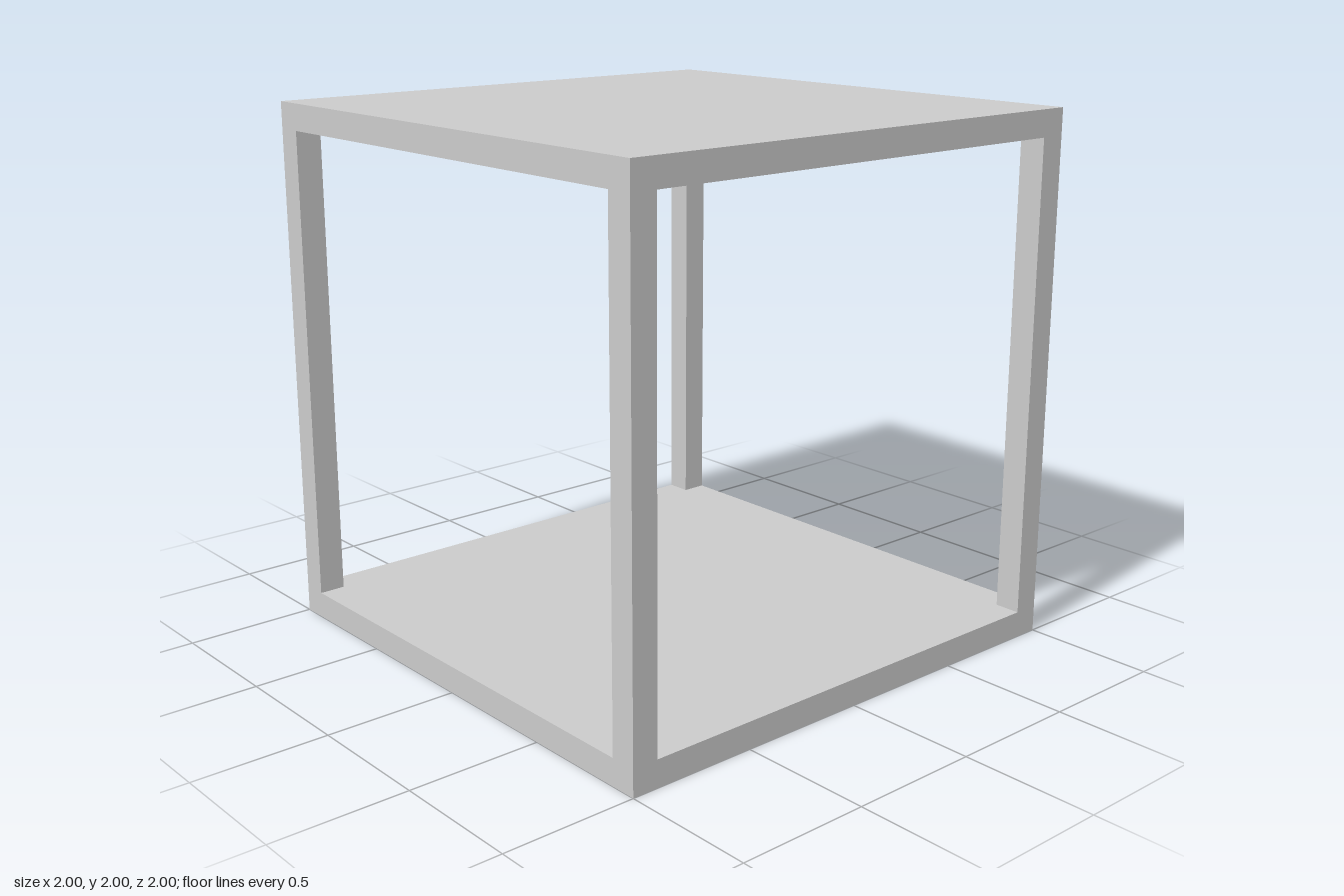
import * as THREE from 'three';

const SIZE = 2;        // outer edge of the cube
const THICK = 0.1;     // slab thickness and post width

export function createModel() {
  const model = new THREE.Group();
  model.name = 'openCubeFrame';
  const material = new THREE.MeshStandardMaterial({ color: 0xcccccc, flatShading: true });

  const addBox = (name, w, h, d, x, y, z) => {
    const mesh = new THREE.Mesh(new THREE.BoxGeometry(w, h, d), material);
    mesh.name = name;
    mesh.position.set(x, y, z);
    model.add(mesh);
  };

  // Solid floor and roof slabs
  addBox('floorSlab', SIZE, THICK, SIZE, 0, THICK / 2, 0);
  addBox('roofSlab', SIZE, THICK, SIZE, 0, SIZE - THICK / 2, 0);

  // Square corner posts between the slabs
  const offset = (SIZE - THICK) / 2;
  for (const [xName, sx] of [['Left', 1], ['Right', -1]]) {
    for (const [zName, sz] of [['front', 1], ['back', -1]]) {
      addBox(`${zName}${xName}Post`, THICK, SIZE - 2 * THICK, THICK, sx * offset, SIZE / 2, sz * offset);
    }
  }

  return model;
}
